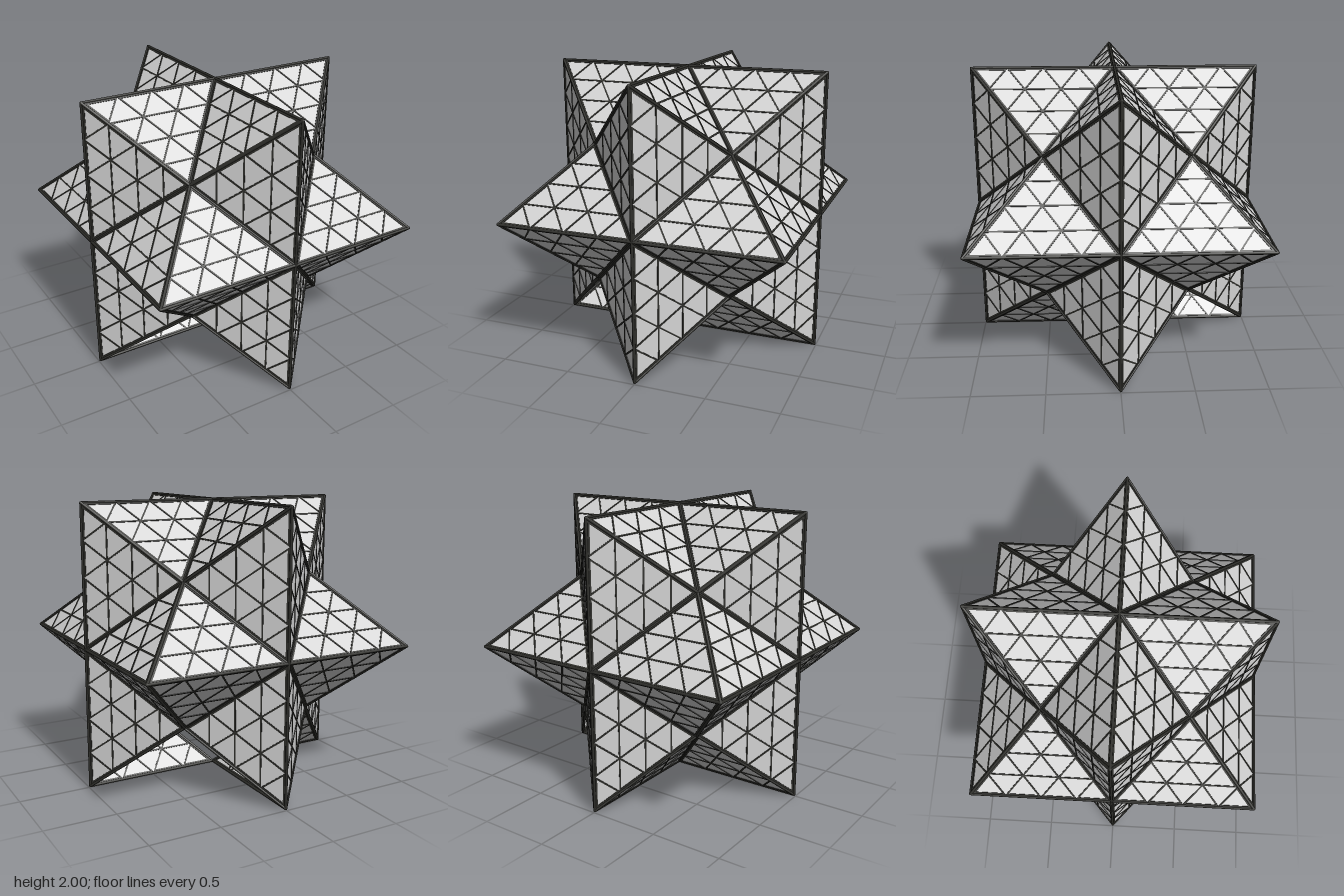
import * as THREE from 'three';

const SIZE = 0.99;       // half width of the star before the edge rods
const FRAME = 0.021;     // border strip on each facet
const LINE = 0.011;      // seam width
const DEPTH = 0.008;     // lattice thickness
const ROD = 0.01;        // edge rod radius
const DIV = 4;           // seams per facet side

// Every facet is the same isosceles triangle
const CORNERS = [new THREE.Vector2(0, 0), new THREE.Vector2(1, 0), new THREE.Vector2(0.5, Math.SQRT1_2)];
const HEIGHTS = [Math.sqrt(2 / 3), Math.sqrt(2 / 3), Math.SQRT1_2];

function at(weights) {
  const p = new THREE.Vector2();
  CORNERS.forEach((c, i) => p.addScaledVector(c, weights[i]));
  return p;
}

// Small triangle bounded by three barycentric limits
function cell(limits) {
  return new THREE.Path([0, 1, 2].map((free) => {
    const w = limits.slice();
    w[free] = 1 - limits[(free + 1) % 3] - limits[(free + 2) % 3];
    return at(w);
  }));
}

// Triangular lattice: border frame and seams, with a hole for every tile
function latticeGeometry() {
  const shape = new THREE.Shape(CORNERS);
  for (let i = 0; i < DIV; i++) {
    for (let j = 0; i + j < DIV; j++) {
      const up = [i, j, DIV - 1 - i - j];
      shape.holes.push(cell(up.map((k, a) => k / DIV + (k === 0 ? FRAME : LINE / 2) / HEIGHTS[a])));
      if (i + j < DIV - 1) {
        const down = [i, j, DIV - 2 - i - j];
        shape.holes.push(cell(down.map((k, a) => (k + 1) / DIV - LINE / 2 / HEIGHTS[a])));
      }
    }
  }
  const geo = new THREE.ExtrudeGeometry(shape, { depth: DEPTH, bevelEnabled: false });
  return geo.translate(0, 0, -DEPTH / 2);
}

export function createModel() {
  const model = new THREE.Group();
  model.name = 'stellatedStar';
  const panelMat = new THREE.MeshStandardMaterial({ color: 0xd4d4d4, side: THREE.DoubleSide });
  panelMat.name = 'light grey panel';
  const frameMat = new THREE.MeshStandardMaterial({ color: 0x2e2e2a });
  frameMat.name = 'dark frame';

  const star = new THREE.Group();
  star.name = 'star';
  star.position.y = 1;
  star.scale.setScalar(SIZE);
  model.add(star);

  const panelGeo = new THREE.ShapeGeometry(new THREE.Shape(CORNERS));
  const latticeGeo = latticeGeometry();
  const jointGeo = new THREE.IcosahedronGeometry(ROD, 1);
  const edges = new Map();
  const joints = new Map();
  const key = (p) => p.toArray().map((n) => Math.round(n * 2)).join();

  function addEdge(p, q) {
    edges.set([key(p), key(q)].sort().join('|'), [p, q]);
    joints.set(key(p), p);
    joints.set(key(q), q);
  }

  // One facet: apex and base share the long side, tip is the third corner
  function addFacet(apex, base, tip) {
    let a = apex, b = base;
    const normal = new THREE.Vector3().crossVectors(b.clone().sub(a), tip.clone().sub(a)).normalize();
    if (normal.dot(tip) < 0) {
      [a, b] = [b, a];
      normal.negate();
    }
    const u = b.clone().sub(a).normalize();
    const v = new THREE.Vector3().crossVectors(normal, u);
    const facet = new THREE.Group();
    facet.name = 'facet';
    facet.quaternion.setFromRotationMatrix(new THREE.Matrix4().makeBasis(u, v, normal));
    facet.position.copy(a);
    const panel = new THREE.Mesh(panelGeo, panelMat);
    panel.name = 'panel';
    const lattice = new THREE.Mesh(latticeGeo, frameMat);
    lattice.name = 'lattice';
    facet.add(panel, lattice);
    star.add(facet);
    addEdge(apex, base);
    addEdge(base, tip);
    addEdge(tip, apex);
  }

  // Twelve four-sided spikes, one for each pair of signed axes
  const axis = (i, s) => new THREE.Vector3().setComponent(i, s);
  for (let c = 0; c < 3; c++) {
    for (const s of [-1, 1]) for (const t of [-1, 1]) {
      const p = axis((c + 1) % 3, s), q = axis((c + 2) % 3, t);
      const apex = p.clone().add(q);
      for (const side of [-1, 1]) {
        const tip = apex.clone().add(axis(c, side)).multiplyScalar(0.5);
        for (const base of [p, q]) {
          // Two opposite valleys underneath are left open
          const open = base.y === -1 && tip.x * tip.z < 0;
          if (!open) addFacet(apex, base, tip);
        }
      }
    }
  }

  // Rods along the ridges and valleys, with small round joints
  const up = new THREE.Vector3(0, 1, 0);
  for (const [p, q] of edges.values()) {
    const dir = q.clone().sub(p);
    const rod = new THREE.Mesh(new THREE.CylinderGeometry(ROD, ROD, dir.length(), 8, 1, true), frameMat);
    rod.name = 'edgeRod';
    rod.position.copy(p).add(q).multiplyScalar(0.5);
    rod.quaternion.setFromUnitVectors(up, dir.normalize());
    star.add(rod);
  }
  for (const p of joints.values()) {
    const joint = new THREE.Mesh(jointGeo, frameMat);
    joint.name = 'joint';
    joint.position.copy(p);
    star.add(joint);
  }
  return model;
}
